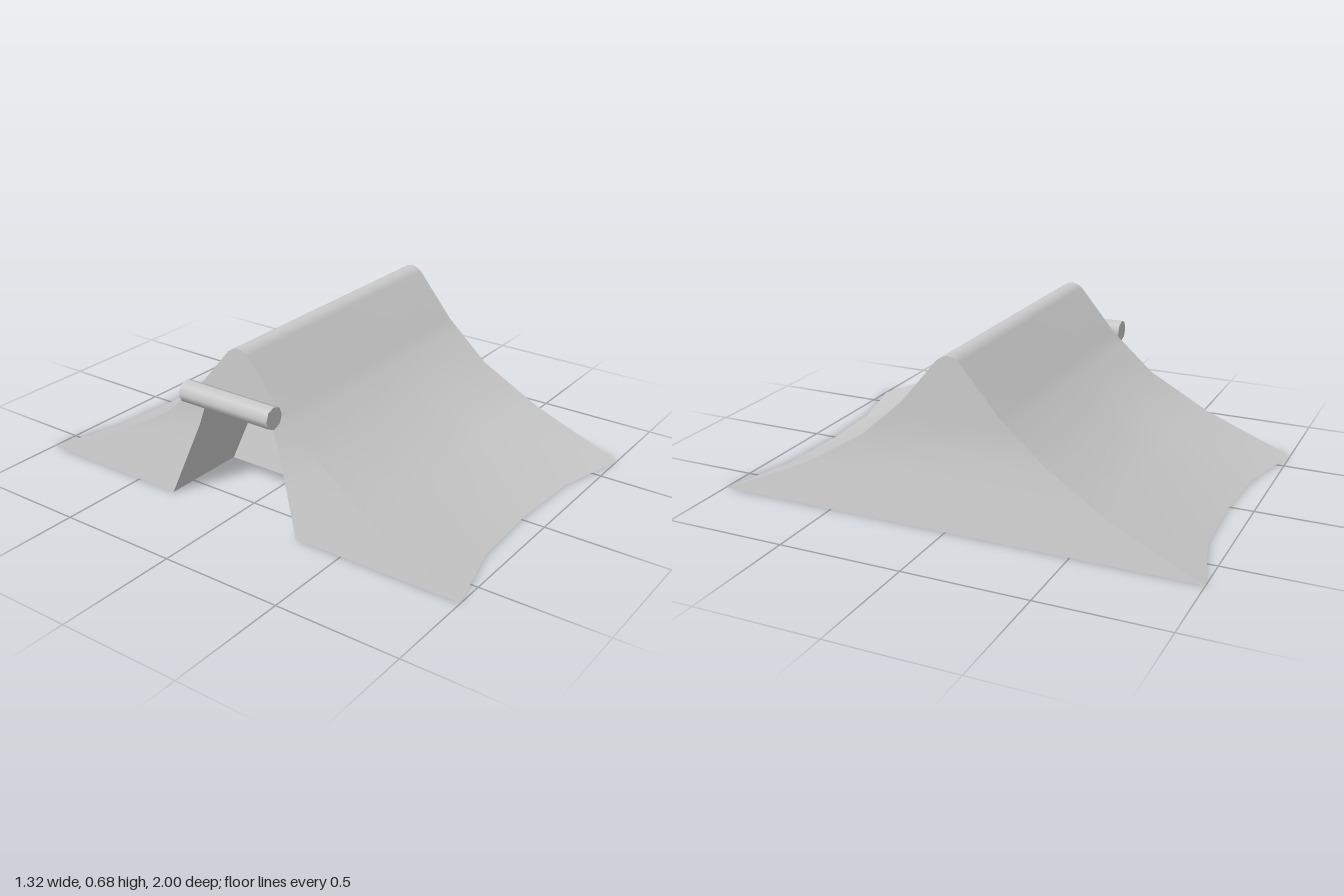
import * as THREE from 'three';

// Half of the end profile as [z, y], from the ground up to the ridge
const PROFILE = [[1, 0], [0.63, 0.16], [0.38, 0.31], [0.245, 0.43], [0.2, 0.47], [0.045, 0.655], [0.02, 0.67], [0, 0.675]];
const RIDGE = 0.675, FOLD = 0.31, DOOR_ROW = 3, DOOR_TOP = 0.43, DOOR_Z = -0.01;
const MID_X = 0.02, ALCOVE_DEPTH = 0.37;

// Ends are upright above the fold and flare outward below it
const endX = (side, y) => MID_X + side * (0.59 + 0.05 * Math.max(0, 1 - y / FOLD));
const doorHalf = y => 0.305 - 0.155 * y / DOOR_TOP;

// Surface through equal-length rows of [x, y, z] points
function sheet(name, rows, material, flat = false) {
  const n = rows[0].length, index = [];
  for (let r = 0; r < rows.length - 1; r++) {
    for (let c = 0; c < n - 1; c++) {
      const a = r * n + c, b = a + 1, d = a + n, e = d + 1;
      index.push(a, d, b, b, d, e);
    }
  }
  let geometry = new THREE.BufferGeometry();
  geometry.setAttribute('position', new THREE.Float32BufferAttribute(rows.flat(2), 3));
  geometry.setIndex(index);
  if (flat) geometry = geometry.toNonIndexed();
  geometry.computeVertexNormals();
  const mesh = new THREE.Mesh(geometry, material);
  mesh.name = name;
  return mesh;
}

export function createModel() {
  const tent = new THREE.Group();
  tent.name = 'tent';
  const cloth = new THREE.MeshStandardMaterial({ color: 0xcccccc, side: THREE.DoubleSide });

  // Roof: the profile swept along x, with hems drawn inward mid-span
  const full = [...PROFILE, ...PROFILE.slice(0, -1).reverse().map(([z, y]) => [-z, y])];
  const sag = [0, 0.083, 0.098, 0.083, 0];
  const roofRows = sag.map((s, i) => full.map(([z, y]) => [
    MID_X + (i / 2 - 1) * (endX(1, y) - MID_X), y, z * (1 - s * (1 - y / RIDGE))
  ]));
  tent.add(sheet('roof', roofRows, cloth));

  // Closed end wall
  tent.add(sheet('closedEndWall', PROFILE.map(([z, y]) => [[endX(1, y), y, z], [endX(1, y), y, -z]]).reverse(), cloth));

  // Door end wall: a strip on each side of the opening and a gable above
  const doorEnd = new THREE.Group();
  doorEnd.name = 'doorEndWall';
  const lower = PROFILE.slice(0, DOOR_ROW + 1);
  for (const s of [1, -1]) {
    const rows = lower.map(([z, y]) => {
      const strip = [[endX(-1, y), y, s * z], [endX(-1, y), y, DOOR_Z + s * doorHalf(y)]];
      return s > 0 ? strip : strip.reverse();
    });
    doorEnd.add(sheet(s > 0 ? 'doorSideFront' : 'doorSideBack', rows, cloth));
  }
  doorEnd.add(sheet('gable', PROFILE.slice(DOOR_ROW).map(([z, y]) => [[endX(-1, y), y, z], [endX(-1, y), y, -z]]), cloth));
  tent.add(doorEnd);

  // Alcove behind the doorway: sides, ceiling and inner panel, no floor
  const heights = [0, FOLD, DOOR_TOP];
  const jamb = (s, y, dx) => [endX(-1, y) + dx, y, DOOR_Z + s * doorHalf(y)];
  const outline = dx => [
    ...heights.map(y => jamb(1, y, dx)),
    ...[...heights].reverse().map(y => jamb(-1, y, dx))
  ];
  const alcove = new THREE.Group();
  alcove.name = 'alcove';
  alcove.add(sheet('alcoveSides', [outline(0), outline(ALCOVE_DEPTH)], cloth, true));
  alcove.add(sheet('alcoveInnerPanel', heights.map(y => [jamb(1, y, ALCOVE_DEPTH), jamb(-1, y, ALCOVE_DEPTH)]), cloth, true));
  tent.add(alcove);

  // Rolled-up door above the opening
  const roll = new THREE.Mesh(new THREE.CylinderGeometry(0.045, 0.045, 0.42, 8), cloth);
  roll.name = 'rolledDoor';
  roll.rotation.x = Math.PI / 2;
  roll.position.set(-0.615, 0.467, DOOR_Z);
  tent.add(roll);

  return tent;
}
